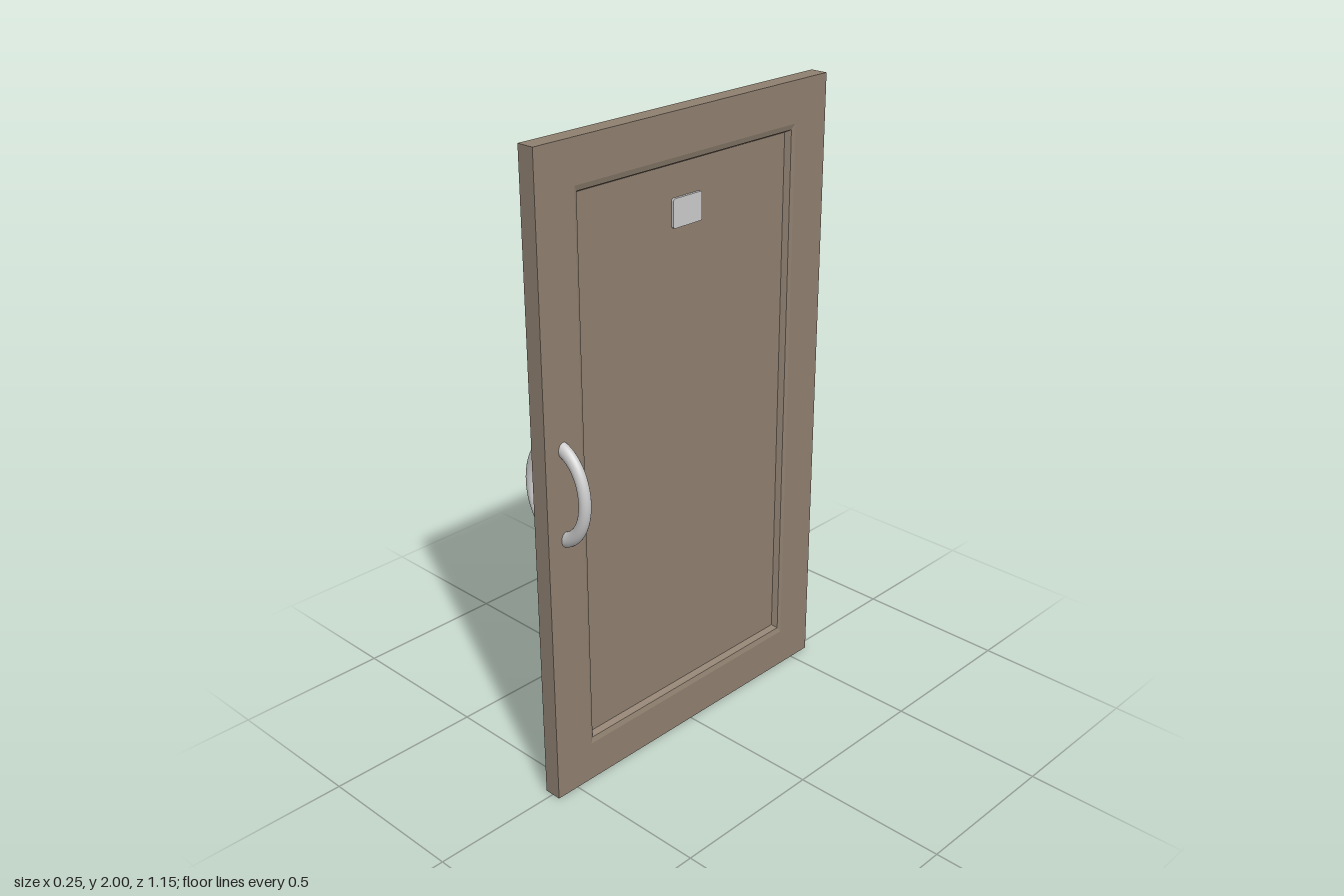
import * as THREE from 'three';

// Closed solid from rectangular rings [halfZ, halfY, x], running from back to front
function ringSolid(rings) {
  const corners = rings.map(([hz, hy, x]) =>
    [[1, -1], [-1, -1], [-1, 1], [1, 1]].map(([sz, sy]) => [x, sy * hy, sz * hz]));
  const pos = [];
  const quad = (a, b, c, d) => pos.push(...a, ...b, ...c, ...a, ...c, ...d);
  for (let r = 0; r < corners.length - 1; r++) {
    const a = corners[r], b = corners[r + 1];
    for (let i = 0; i < 4; i++) {
      const j = (i + 1) % 4;
      quad(a[i], a[j], b[j], b[i]);
    }
  }
  quad(...corners[corners.length - 1]);
  quad(...[...corners[0]].reverse());
  const geo = new THREE.BufferGeometry();
  geo.setAttribute('position', new THREE.Float32BufferAttribute(pos, 3));
  geo.computeVertexNormals();
  return geo;
}

// Flat plate with rounded corners, facing +x
function roundedPlate(w, h, r, depth) {
  const x = w / 2, y = h / 2, s = new THREE.Shape();
  s.absarc(x - r, y - r, r, 0, Math.PI / 2);
  s.absarc(-x + r, y - r, r, Math.PI / 2, Math.PI);
  s.absarc(-x + r, -y + r, r, Math.PI, Math.PI * 1.5);
  s.absarc(x - r, -y + r, r, Math.PI * 1.5, Math.PI * 2);
  return new THREE.ExtrudeGeometry(s, { depth, bevelEnabled: false, curveSegments: 6 })
    .rotateY(Math.PI / 2);
}

export function createModel() {
  const door = new THREE.Group();
  door.name = 'cabinetDoor';
  const wood = new THREE.MeshStandardMaterial({ color: 0x8f8070 });
  wood.name = 'taupe wood';
  const metal = new THREE.MeshStandardMaterial({ color: 0xcccccc });
  metal.name = 'light grey metal';

  const add = (name, geo, mat, x, y, z) => {
    const mesh = new THREE.Mesh(geo, mat);
    mesh.name = name;
    mesh.position.set(x, y, z);
    door.add(mesh);
  };

  // Slab with a bevelled, recessed panel on the +x face
  const T = 0.028, FLOOR = 0.005;
  add('doorSlab', ringSolid([
    [0.577, 1, -T],
    [0.577, 1, T],
    [0.44, 0.872, T],
    [0.429, 0.855, 0.023],
    [0.42, 0.846, FLOOR],
  ]), wood, 0, 1, 0);

  // Small label plate on the panel
  add('labelPlate', roundedPlate(0.116, 0.086, 0.007, 0.008), metal, FLOOR, 1.706, 0);

  // Oval pull handles, one on each face
  for (const side of [1, -1]) {
    const handle = new THREE.TorusGeometry(0.109, 0.018, 20, 40, Math.PI)
      .rotateZ(-side * Math.PI / 2)
      .scale(1, 1.32, 1);
    add(side > 0 ? 'leftHandle' : 'rightHandle', handle, metal, 0, 1.002, 0.51);
  }

  return door;
}
